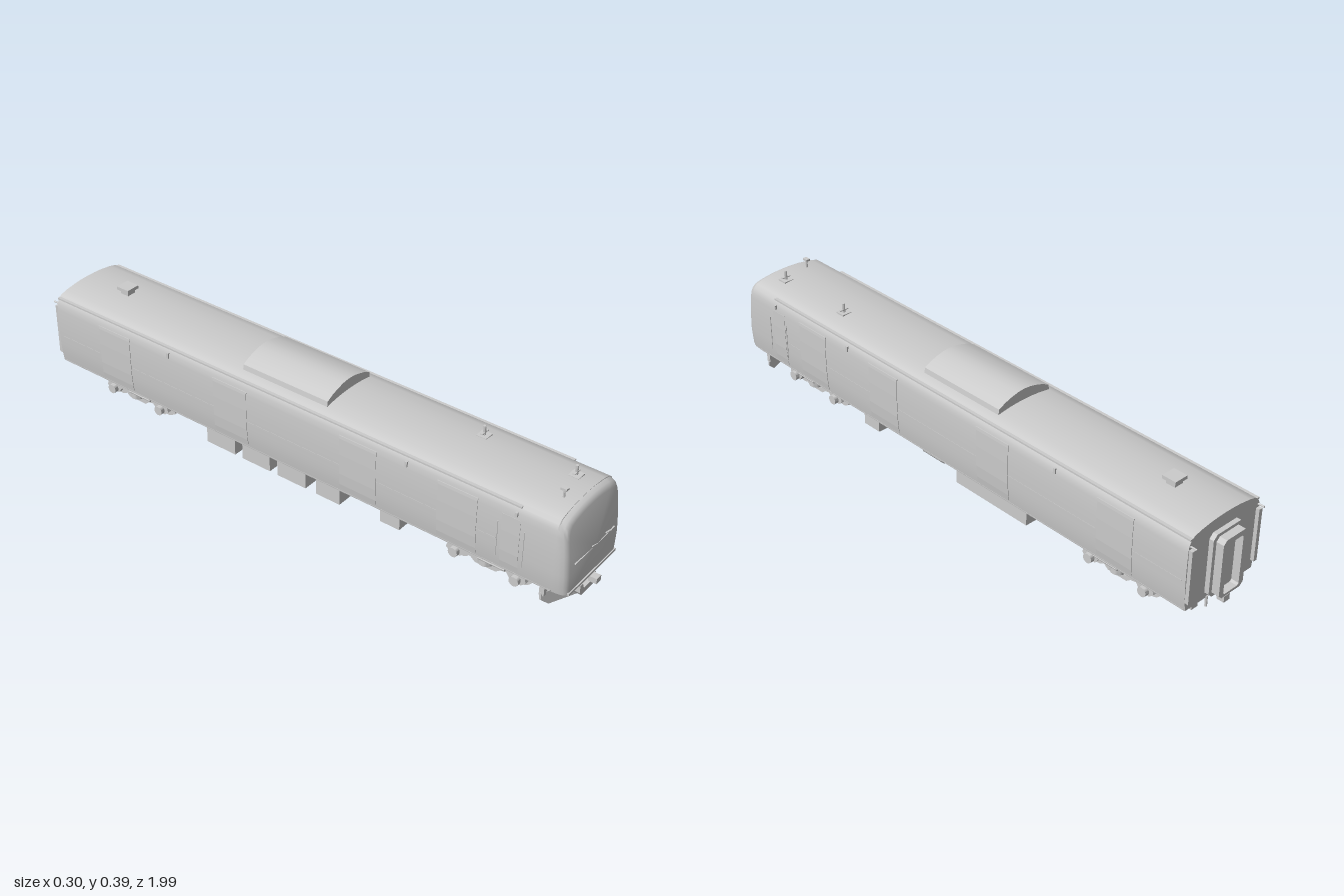
import * as THREE from 'three';
import { toCreasedNormals } from 'three/addons/utils/BufferGeometryUtils.js';

const mat = new THREE.MeshStandardMaterial({ color: 0xcccccc, side: THREE.DoubleSide });
const FRONT = 0.967, BACK = -0.955;

// right half of the body cross-section, bottom to top
const half = [[0.138, 0.1], [0.1425, 0.13], [0.1455, 0.17], [0.1465, 0.24], [0.1455, 0.295], [0.1435, 0.315],
  [0.137, 0.33], [0.125, 0.341], [0.1, 0.348], [0.06, 0.354], [0.03, 0.3563], [0, 0.357]];

function add(parent, name, geo, x = 0, y = 0, z = 0) {
  const m = new THREE.Mesh(geo, mat);
  m.name = name;
  m.position.set(x, y, z);
  parent.add(m);
  return m;
}
// box given by its ranges on each axis
function block(parent, name, x0, x1, y0, y1, z0, z1) {
  return add(parent, name, new THREE.BoxGeometry(Math.abs(x1 - x0), y1 - y0, Math.abs(z1 - z0)),
    (x0 + x1) / 2, (y0 + y1) / 2, (z0 + z1) / 2);
}
function rod(parent, name, r, len, axis, x, y, z, n = 16) {
  const g = new THREE.CylinderGeometry(r, r, len, n);
  if (axis === 'x') g.rotateZ(Math.PI / 2);
  if (axis === 'z') g.rotateX(Math.PI / 2);
  return add(parent, name, toCreasedNormals(g, 0.7), x, y, z);
}
function prism(points, depth, holes = []) {
  const s = new THREE.Shape(points.map(p => new THREE.Vector2(...p)));
  holes.forEach(h => s.holes.push(new THREE.Path(h.map(p => new THREE.Vector2(...p)))));
  return new THREE.ExtrudeGeometry(s, { depth, bevelEnabled: false });
}
// width of the side wall at a height
function wallX(y) {
  const i = Math.max(1, half.findIndex(p => p[1] >= y));
  const [a, b] = [half[i - 1], half[i]];
  return a[0] + (b[0] - a[0]) * (y - a[1]) / (b[1] - a[1]);
}
// thin panel that follows the curved side wall
function sidePanel(parent, name, s, y0, y1, z0, z1, out = 0.001) {
  const ys = [y0, ...half.map(p => p[1]).filter(y => y > y0 && y < y1), y1];
  const pts = [...ys.map(y => [s * (wallX(y) + out), y]),
    ...ys.slice().reverse().map(y => [s * (wallX(y) - 0.003), y])];
  add(parent, name, prism(pts, z1 - z0), 0, 0, z0);
}

// body shell lofted along z, rounded in towards the cab face
function bodyGeometry() {
  const ring = [...half, ...half.slice(0, -1).reverse().map(([x, y]) => [-x, y])];
  const sections = [[BACK, 0], [0.925, 0], [0.943, 0.002], [0.956, 0.006], [0.963, 0.012], [FRONT, 0.021]];
  const n = ring.length, pos = [], idx = [];
  sections.forEach(([z, d], j) => ring.forEach(([x, y]) => pos.push(
    x * (1 - d / 0.146), 0.1 + (y - 0.1) * (1 - d / 0.257),
    z - (j > 1 ? Math.max(0, y - 0.2) * 0.12 : 0))));
  for (let j = 0; j < sections.length - 1; j++) for (let i = 0; i < n; i++) {
    const a = j * n + i, b = j * n + (i + 1) % n;
    idx.push(a, b, b + n, a, b + n, a + n);
  }
  const c = sections.length * n, last = c - n;
  pos.push(0, 0.2, FRONT + 0.003, 0, 0.2, BACK);
  for (let i = 0; i < n; i++) {
    const k = (i + 1) % n;
    idx.push(c, last + i, last + k, c + 1, k, i);
  }
  const g = new THREE.BufferGeometry();
  g.setAttribute('position', new THREE.Float32BufferAttribute(pos, 3));
  g.setIndex(idx);
  return toCreasedNormals(g, 0.6);
}

function makeBogie(z) {
  const b = new THREE.Group();
  b.name = 'bogie';
  b.position.z = z;
  // side frame profile in (z, y)
  const frame = [[-0.135, 0.04], [-0.13, 0.058], [-0.09, 0.066], [-0.05, 0.062], [-0.03, 0.048], [0.03, 0.048],
    [0.05, 0.062], [0.09, 0.066], [0.13, 0.058], [0.135, 0.04], [0.12, 0.026], [0.085, 0.028], [0.07, 0.048],
    [0.05, 0.044], [0.035, 0.032], [-0.035, 0.032], [-0.05, 0.044], [-0.07, 0.048], [-0.085, 0.028], [-0.12, 0.026]];
  for (const s of [-1, 1]) {
    add(b, 'sideFrame', prism(frame, 0.014).rotateY(Math.PI / 2), s * 0.085 - 0.007);
    block(b, 'bolsterEnd', s * 0.07, s * 0.11, 0.078, 0.09, -0.07, 0.07);
    rod(b, 'airSpring', 0.024, 0.032, 'y', s * 0.088, 0.064, 0, 20);
    rod(b, 'damper', 0.005, 0.09, 'z', s * 0.108, 0.07, 0.03, 8);
    for (const w of [-1, 1]) {
      const wz = w * 0.103;
      rod(b, 'wheel', 0.037, 0.013, 'x', s * 0.055, 0.04, wz, 28);
      rod(b, 'wheelFlange', 0.04, 0.003, 'x', s * 0.049, 0.04, wz, 28);
      rod(b, 'axleBox', 0.016, 0.018, 'x', s * 0.097, 0.04, wz, 12);
    }
  }
  for (const w of [-1, 1]) {
    rod(b, 'axle', 0.007, 0.18, 'x', 0, 0.04, w * 0.103, 10);
    rod(b, 'motor', 0.02, 0.075, 'x', 0, 0.045, w * 0.058, 12);
  }
  block(b, 'crossBeam', -0.085, 0.085, 0.05, 0.085, -0.03, 0.03);
  rod(b, 'pivot', 0.025, 0.03, 'y', 0, 0.09, 0);
  return b;
}

export function createModel() {
  const g = new THREE.Group();
  g.name = 'railCar';
  add(g, 'body', bodyGeometry());

  // side walls: doors, belt line, cab door, handrails, lamps, gutters
  for (const s of [-1, 1]) {
    for (const z of [0.61, 0.265, -0.22, -0.7]) {
      sidePanel(g, 'slidingDoor', s, 0.112, 0.302, z - 0.066, z + 0.066, 0.0016);
      sidePanel(g, 'doorHeader', s, 0.302, 0.306, z - 0.068, z + 0.068, 0.003);
    }
    sidePanel(g, 'beltLine', s, 0.2, 0.2015, -0.94, 0.74, 0.0008);
    sidePanel(g, 'sill', s, 0.1, 0.104, -0.95, 0.92, 0.001);
    sidePanel(g, 'cabDoor', s, 0.112, 0.295, 0.755, 0.815, 0.001);
    for (const z of [0.745, 0.83]) rod(g, 'handrail', 0.0016, 0.12, 'y', s * 0.149, 0.205, z, 6);
    for (const z of [0.435, -0.47]) block(g, 'sideLamp', s * 0.142, s * 0.149, 0.302, 0.32, z - 0.004, z + 0.004);
    block(g, 'cabLamp', s * 0.142, s * 0.15, 0.304, 0.318, 0.796, 0.804);
    block(g, 'gutter', s * 0.128, s * 0.14, 0.331, 0.3365, BACK, 0.81);
    block(g, 'cornerPost', s * 0.13, s * 0.143, 0.13, 0.305, BACK, BACK - 0.012);
    rod(g, 'rearStay', 0.003, 0.03, 'z', s * 0.138, 0.315, BACK - 0.006, 6);
  }

  // roof equipment
  const arch = [[0.104, 0.34], [0.1, 0.364], [0.075, 0.377], [0.05, 0.385], [0.025, 0.391], [0, 0.393]];
  const archFull = [...arch, ...arch.slice(0, -1).reverse().map(([x, y]) => [-x, y])];
  add(g, 'airConditioner', toCreasedNormals(prism(archFull, 0.32), 0.4), 0, 0, -0.2);
  block(g, 'ventNeck', -0.016, 0.016, 0.35, 0.372, -0.791, -0.759);
  block(g, 'ventCap', -0.024, 0.024, 0.371, 0.382, -0.799, -0.751);
  for (const z of [0.86, 0.56]) {
    block(g, 'antennaBase', 0.037, 0.071, 0.351, 0.357, z - 0.017, z + 0.017);
    rod(g, 'antenna', 0.005, 0.032, 'y', 0.054, 0.371, z, 8);
    block(g, 'antennaBar', 0.038, 0.07, 0.364, 0.3665, z - 0.004, z + 0.004);
  }
  rod(g, 'whistlePost', 0.0035, 0.035, 'y', -0.052, 0.368, 0.885, 8);
  block(g, 'whistle', -0.059, -0.045, 0.379, 0.386, 0.875, 0.895);

  // cab face trim
  block(g, 'waistTrim', -0.105, 0.105, 0.1965, 0.1985, 0.955, FRONT + 0.003);
  for (const x of [-0.005, 0.07]) {
    block(g, 'wiper', x - 0.016, x + 0.014, 0.202, 0.204, 0.96, FRONT + 0.005).rotation.z = -0.25;
  }
  block(g, 'frontStep', -0.125, 0.125, 0.1, 0.108, 0.94, FRONT + 0.004);

  // gangway: bevelled frame with a recessed passage
  const rect = (x, y0, y1, c) => [[-x + c, y0], [x - c, y0], [x, y0 + c], [x, y1 - c], [x - c, y1], [-x + c, y1], [-x, y1 - c], [-x, y0 + c]];
  add(g, 'gangwayBase', prism(rect(0.062, 0.108, 0.315, 0.014), 0.016), 0, 0, BACK - 0.015);
  add(g, 'gangwayFrame', prism(rect(0.05, 0.112, 0.305, 0.012), 0.03, [rect(0.032, 0.12, 0.288, 0.006)]), 0, 0, BACK - 0.04);

  // couplers and end gear
  block(g, 'frontBeam', -0.1, 0.1, 0.082, 0.1, 0.9, 0.93);
  block(g, 'couplerHousing', -0.022, 0.022, 0.074, 0.102, 0.88, 0.955);
  rod(g, 'couplerShank', 0.009, 0.07, 'z', 0, 0.087, 0.945, 10);
  block(g, 'couplerHead', -0.012, 0.012, 0.078, 0.096, 0.965, 0.992);
  add(g, 'couplerGuard', prism([[-0.032, 0.036], [0.032, 0.036], [0.041, 0.048], [0.041, 0.074], [0.028, 0.074],
    [0.02, 0.054], [-0.02, 0.054], [-0.028, 0.074], [-0.041, 0.074], [-0.041, 0.048]], 0.02), 0, 0, 0.94);
  block(g, 'rearCouplerHousing', -0.02, 0.02, 0.07, 0.102, -0.93, -0.87);
  rod(g, 'rearCouplerShank', 0.008, 0.08, 'z', 0, 0.086, -0.945, 10);
  block(g, 'rearCouplerHead', -0.012, 0.012, 0.076, 0.096, -0.985, -0.96);

  // snow plough in two swept-back halves, with brackets and hoses
  const blade = [[0, 0.022], [0.105, 0.022], [0.13, 0.046], [0.13, 0.07], [0.1, 0.07], [0.062, 0.064], [0.045, 0.046], [0, 0.046]];
  for (const s of [-1, 1]) {
    const geo = prism(blade.map(([x, y]) => [s * x, y]), 0.006), p = geo.attributes.position;
    for (let i = 0; i < p.count; i++) p.setZ(i, p.getZ(i) + 0.942 - Math.abs(p.getX(i)) * 0.45);
    geo.computeVertexNormals();
    add(g, 'plough', geo);
    block(g, 'ploughBracket', s * 0.1, s * 0.128, 0.06, 0.1, 0.88, 0.896);
    block(g, 'frontStepBox', s * 0.064, s * 0.086, 0.068, 0.1, 0.89, 0.925);
    rod(g, 'brakeHose', 0.004, 0.045, 'y', s * 0.045, 0.085, 0.945, 8);
    rod(g, 'rearHose', 0.004, 0.035, 'y', s * 0.05, 0.087, -0.955, 8);
    block(g, 'rearStepBox', s * 0.08, s * 0.105, 0.082, 0.1, -0.95, -0.92);
  }

  // underfloor equipment
  block(g, 'batteryBox', 0.05, 0.115, 0.04, 0.1, 0.33, 0.4);
  block(g, 'inverter', 0.05, 0.117, 0.034, 0.1, -0.335, -0.035);
  rod(g, 'airTank', 0.024, 0.085, 'z', 0.085, 0.074, 0.088, 20);
  block(g, 'tankBracket', 0.075, 0.095, 0.08, 0.1, 0.06, 0.115);
  for (const [z0, z1] of [[0.33, 0.4], [0.09, 0.18], [-0.06, 0.05], [-0.2, -0.09], [-0.345, -0.23]]) {
    block(g, 'equipmentBox', -0.118, -0.045, z0 > 0.3 ? 0.04 : 0.027, 0.1, z0, z1);
  }

  g.add(makeBogie(0.682), makeBogie(-0.672));
  return g;
}
